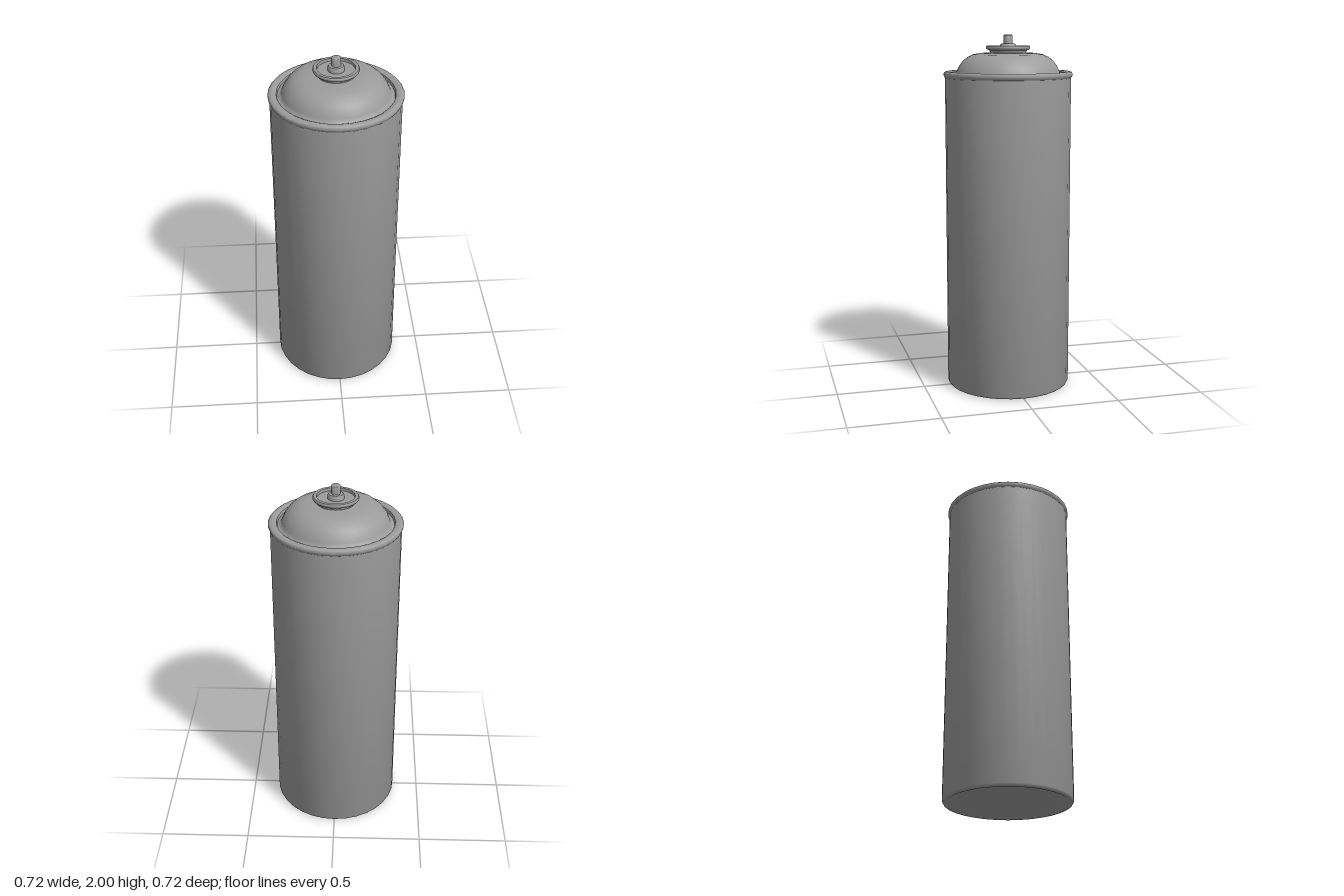
import * as THREE from 'three';
import { toCreasedNormals } from 'three/addons/utils/BufferGeometryUtils.js';

const material = new THREE.MeshStandardMaterial({ color: 0x9c9c9c, side: THREE.DoubleSide });

// Turned part: profile of [radius, height] pairs, with sharp corners kept sharp
function turned(name, profile, segments = 32, crease = 0.8) {
  const points = profile.map(([r, y]) => new THREE.Vector2(r, y));
  const geometry = toCreasedNormals(new THREE.LatheGeometry(points, segments), crease);
  const mesh = new THREE.Mesh(geometry, material);
  mesh.name = name;
  return mesh;
}

export function createModel() {
  const can = new THREE.Group();
  can.name = 'sprayCan';

  // Cylinder wall with a rounded foot and a shallow recessed base
  can.add(turned('body', [
    [0, 0.03], [0.2, 0.027], [0.28, 0.02], [0.315, 0.008], [0.332, 0],
    [0.346, 0.004], [0.352, 0.015], [0.352, 1.765],
  ]));

  // Flared seam around the shoulder, dropping into a narrow groove
  can.add(turned('rim', [
    [0.352, 1.765], [0.357, 1.772], [0.361, 1.782], [0.361, 1.789], [0.355, 1.796],
    [0.343, 1.8], [0.327, 1.799], [0.316, 1.793], [0.312, 1.778], [0.295, 1.776],
  ]));

  // Domed top with a soft fillet at its foot
  can.add(turned('dome', [
    [0.312, 1.778], [0.299, 1.781], [0.291, 1.79], [0.286, 1.803], [0.276, 1.825],
    [0.256, 1.853], [0.229, 1.877], [0.195, 1.893], [0.15, 1.9], [0.1, 1.902], [0, 1.902],
  ]));

  // Valve cup: short neck, curled lip and shallow recessed floor
  can.add(turned('valveCup', [
    [0.1, 1.9], [0.104, 1.915], [0.118, 1.92], [0.123, 1.927], [0.123, 1.935],
    [0.119, 1.94], [0.102, 1.94], [0.1, 1.925], [0, 1.925],
  ]));

  // Collar holding the stem
  can.add(turned('stemCollar', [
    [0.044, 1.922], [0.044, 1.945], [0.039, 1.952], [0, 1.953],
  ], 24));

  // Valve stem
  can.add(turned('valveStem', [
    [0.025, 1.95], [0.025, 1.997], [0.022, 2], [0, 2],
  ], 20));

  return can;
}
